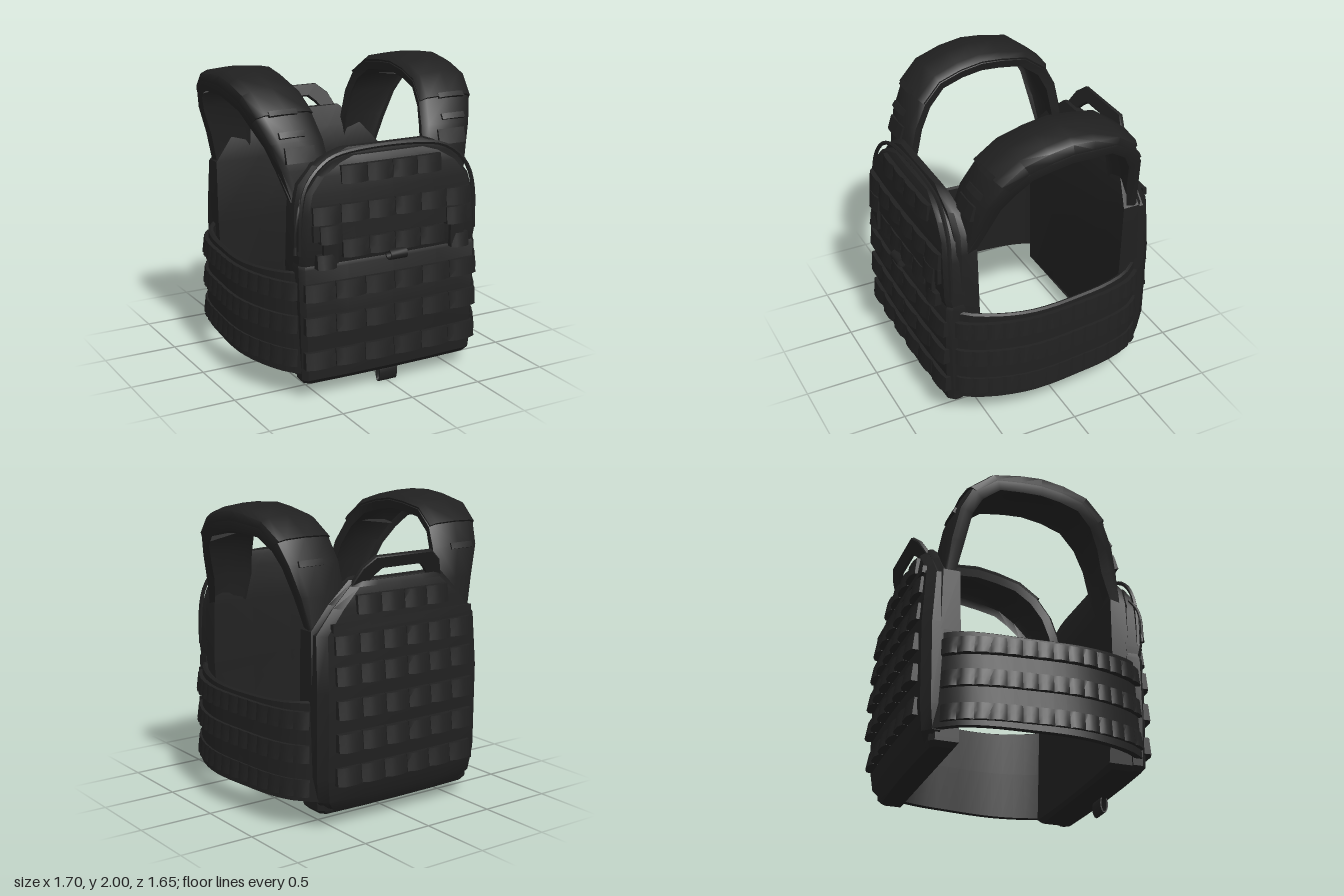
import * as THREE from 'three';
import { mergeGeometries, toCreasedNormals } from 'three/addons/utils/BufferGeometryUtils.js';

const fabric = new THREE.MeshStandardMaterial({ color: 0x202020 });
fabric.name = 'black fabric';

export function createModel() {
  const model = new THREE.Group();
  const add = (name, geo, crease = 0.6) => {
    const mesh = new THREE.Mesh(toCreasedNormals(geo, crease), fabric);
    mesh.name = name;
    model.add(mesh);
    return mesh;
  };

  // Closed solid through a series of equal-length rings, faces turned outward
  function loft(rings) {
    const n = rings[0].length, pos = rings.flat(2), idx = [];
    for (let r = 0; r < rings.length - 1; r++) {
      for (let i = 0; i < n; i++) {
        const a = r * n + i, b = r * n + (i + 1) % n;
        idx.push(a, b, b + n, a, b + n, a + n);
      }
    }
    const last = (rings.length - 1) * n;
    for (let i = 1; i < n - 1; i++) idx.push(0, i + 1, i, last, last + i, last + i + 1);
    const v = k => new THREE.Vector3().fromArray(pos, k * 3);
    let volume = 0;
    for (let i = 0; i < idx.length; i += 3) volume += v(idx[i]).dot(v(idx[i + 1]).cross(v(idx[i + 2])));
    if (volume < 0) idx.reverse();
    const geo = new THREE.BufferGeometry();
    geo.setAttribute('position', new THREE.Float32BufferAttribute(pos, 3));
    geo.setIndex(idx);
    return geo;
  }

  // Upright panel from rows of [y, half width, inner z, outer z], bowed across x
  function slab(name, rows, bow = 0.02, edge = 0.03) {
    add(name, loft(rows.map(([y, w, zi, zo]) => {
      const s = Math.sign(zo), z = (base, x) => base - s * bow * (x / 0.64) ** 2;
      const inner = [-1, -0.5, 0, 0.5, 1].map(u => [u * w, y, z(zi, u * w)]);
      const side = zo - s * Math.min(edge, Math.abs(zo - zi) * 0.5);
      const outer = [w - edge, w / 2, 0, -w / 2, edge - w].map(x => [x, y, z(zo, x)]);
      return [...inner, [w, y, z(side, w)], ...outer, [-w, y, z(side, w)]];
    })));
  }

  // Front: carrier, lower flap and arched upper pouch
  slab('frontCarrier', [[0.1, 0.58, 0.52, 0.69], [0.13, 0.61, 0.495, 0.71], [0.3, 0.62, 0.505, 0.69], [0.85, 0.64, 0.53, 0.68],
    [1.25, 0.63, 0.535, 0.67], [1.37, 0.6, 0.55, 0.66], [1.48, 0.5, 0.57, 0.65], [1.55, 0.37, 0.585, 0.645], [1.575, 0.3, 0.595, 0.635]]);
  slab('frontLowerFlap', [[0.1, 0.6, 0.66, 0.72], [0.13, 0.625, 0.65, 0.745], [0.5, 0.635, 0.63, 0.755], [0.86, 0.645, 0.63, 0.75], [0.89, 0.64, 0.64, 0.735]]);
  slab('frontUpperPouch', [[0.86, 0.64, 0.63, 0.735], [0.94, 0.64, 0.63, 0.755], [1.2, 0.62, 0.62, 0.75], [1.33, 0.585, 0.62, 0.735],
    [1.43, 0.5, 0.62, 0.72], [1.5, 0.38, 0.62, 0.7], [1.53, 0.28, 0.63, 0.68]]);
  const arch = [[0.635, 0.95, 0.7], [0.625, 1.22, 0.7], [0.59, 1.36, 0.69], [0.5, 1.47, 0.68], [0.36, 1.54, 0.665]];
  const piping = [...arch.map(([x, y, z]) => [-x, y, z]), ...arch.slice().reverse()].map(p => new THREE.Vector3(...p));
  add('pouchPiping', new THREE.TubeGeometry(new THREE.CatmullRomCurve3(piping), 40, 0.014, 5));

  // Back: carrier and plate pocket with cut corners
  slab('backCarrier', [[0.1, 0.58, -0.54, -0.68], [0.13, 0.61, -0.52, -0.7], [0.85, 0.64, -0.53, -0.69], [1.27, 0.64, -0.54, -0.68],
    [1.42, 0.51, -0.575, -0.67], [1.56, 0.36, -0.625, -0.66]]);
  slab('backPlatePocket', [[0.1, 0.54, -0.64, -0.68], [0.19, 0.62, -0.64, -0.74], [0.35, 0.64, -0.64, -0.76], [0.9, 0.64, -0.64, -0.765],
    [1.25, 0.63, -0.63, -0.74], [1.4, 0.5, -0.63, -0.72], [1.52, 0.37, -0.63, -0.7], [1.55, 0.33, -0.64, -0.68]], 0.02, 0.05);

  // One pillowed webbing loop, standing out along +z and deepest at its lower edge
  function webCell(w, h, d) {
    const geo = new THREE.BoxGeometry(w, h, d, 4, 2, 1), p = geo.attributes.position;
    for (let i = 0; i < p.count; i++) {
      if (p.getZ(i) <= 0) { p.setZ(i, -0.02); continue; }
      const u = p.getX(i) / w * 2, low = 0.5 - p.getY(i) / h;
      p.setZ(i, d * (0.6 + 0.4 * (1 - u ** 4)) * (0.6 + 0.4 * low));
    }
    return geo;
  }
  const placed = (geo, x, y, z, ry = 0, rx = 0) => geo.applyMatrix4(new THREE.Matrix4()
    .makeRotationFromEuler(new THREE.Euler(rx, ry, 0, 'YXZ')).setPosition(x, y, z));

  // Straight webbing row on the front or back
  function webRow(name, y, half, count, z, h = 0.11, d = 0.045) {
    const w = half * 2 / count, cells = [];
    for (let i = 0; i < count; i++) {
      const x = -half + w * (i + 0.5), s = Math.sign(z);
      cells.push(placed(webCell(w * 0.985, h, d), x, y, z - s * 0.02 * (x / 0.64) ** 2, s > 0 ? x * 0.08 : Math.PI - x * 0.08));
    }
    add(name, mergeGeometries(cells));
  }
  [[1.43, 0.36, 4, 0.712], [1.2, 0.57, 6, 0.748], [0.975, 0.37, 4, 0.752], [0.715, 0.625, 6, 0.75], [0.5, 0.625, 6, 0.755], [0.27, 0.625, 6, 0.75]]
    .forEach(r => webRow('frontWebbing', ...r));
  [[1.42, 0.36, 4, -0.712], [1.19, 0.54, 6, -0.738], [1.0, 0.54, 6, -0.752], [0.79, 0.54, 6, -0.768], [0.58, 0.54, 6, -0.772], [0.36, 0.54, 6, -0.757]]
    .forEach(r => webRow('backWebbing', ...r, 0.115, 0.053));
  webRow('frontFlapBand', 1.09, 0.58, 1, 0.752, 0.1, 0.02);
  webRow('backFlapBand', 1.295, 0.56, 1, -0.732, 0.05, 0.02);

  // Buckle straps on the front
  for (const s of [-1, 1]) {
    add('buckleStrap', placed(new THREE.BoxGeometry(0.1, 0.24, 0.025), s * 0.46, 1.01, 0.765));
    add('buckleTop', placed(webCell(0.15, 0.11, 0.045), s * 0.455, 1.08, 0.755));
    add('buckleBottom', placed(webCell(0.13, 0.09, 0.045), s * 0.485, 0.91, 0.752));
  }

  // Side bands with webbing, following a curve around the waist
  const waist = new THREE.CatmullRomCurve3([[0.59, 0.71], [0.675, 0.63], [0.757, 0.46], [0.808, 0.25], [0.815, 0.08],
    [0.8, -0.12], [0.775, -0.35], [0.72, -0.53], [0.61, -0.67]].map(([x, z]) => new THREE.Vector3(x, 0, z)));
  for (const s of [-1, 1]) {
    const rings = [];
    for (let i = 0; i <= 18; i++) {
      const p = waist.getPointAt(i / 18), t = waist.getTangentAt(i / 18);
      const top = 0.805 + 0.07 * p.z * p.z, low = 0.185 - 0.015 * p.z;
      const at = (d, y) => [s * (p.x - t.z * d), y, p.z + t.x * d];
      rings.push([at(0.012, low), at(0, 0.5), at(-0.01, top - 0.01), at(-0.025, top), at(-0.045, top - 0.01), at(-0.04, 0.5), at(-0.03, low)]);
    }
    add('sideBand', loft(rings));
    for (const y of [0.715, 0.5, 0.28]) {
      const cells = [], n = 14;
      for (let i = 0; i < n; i++) {
        const u = 0.04 + 0.92 * (i + 0.5) / n, p = waist.getPointAt(u), t = waist.getTangentAt(u);
        cells.push(placed(webCell(0.106, 0.11, 0.034), s * p.x, y, p.z, Math.atan2(-t.z * s, t.x)));
      }
      add('sideWebbing', mergeGeometries(cells));
    }
  }

  // Shoulder straps: [outer z, y, inner x, outer x, edge droop], front to back over the top
  const path = [[0.59, 1.25, 0.36, 0.63, 0.1], [0.575, 1.45, 0.34, 0.68, 0.8], [0.53, 1.62, 0.36, 0.73, 0.9], [0.44, 1.78, 0.39, 0.79, 0.95],
    [0.3, 1.905, 0.42, 0.82, 0.95], [0.13, 1.96, 0.43, 0.83, 1], [-0.03, 1.985, 0.43, 0.83, 1], [-0.18, 1.97, 0.43, 0.83, 0.9], [-0.36, 1.935, 0.42, 0.82, 0.7],
    [-0.51, 1.825, 0.4, 0.79, 0.65], [-0.58, 1.68, 0.38, 0.755, 0.55], [-0.615, 1.48, 0.36, 0.69, 0.55], [-0.635, 1.25, 0.36, 0.63, 0.3]];
  const profile = [[0, 0.05], [0.1, 0.015], [0.5, 0], [0.85, 0.015], [0.97, 0.045], [1, 0.1]];
  function strapRings(s, from, to, lift, thick) {
    const rings = [];
    for (let i = from; i <= to; i++) {
      const a = path[Math.max(i - 1, 0)], b = path[Math.min(i + 1, path.length - 1)], [z, y, xi, xo, sag] = path[i];
      const len = Math.hypot(b[0] - a[0], b[1] - a[1]), nz = (b[1] - a[1]) / len, ny = (a[0] - b[0]) / len;
      const at = (u, d) => [s * (xi + (xo - xi) * u), y + ny * d, z + nz * d];
      rings.push([...profile.map(([u, d]) => at(u, lift - d * sag)),
        ...profile.slice().reverse().map(([u, d]) => at(0.04 + u * 0.92, lift - thick - d * sag))]);
    }
    return rings;
  }
  for (const s of [-1, 1]) {
    add('shoulderStrap', loft(strapRings(s, 0, path.length - 1, 0, 0.055)), 0.8);
    add('shoulderPad', loft(strapRings(s, 3, 9, 0.016, 0.04)), 0.8);
    // Small loops sewn on the straps
    add('strapLoop', placed(webCell(0.19, 0.035, 0.018), s * 0.61, 1.785, 0.438, 0, -0.6));
    add('strapLoop', placed(webCell(0.17, 0.04, 0.018), s * 0.585, 1.66, 0.508, 0, -0.5));
    add('strapPatch', placed(webCell(0.2, 0.1, 0.015), s * 0.55, 1.54, 0.552, 0, -0.27));
    add('strapLoop', placed(webCell(0.18, 0.04, 0.015), s * 0.6, 1.68, -0.578, Math.PI, -0.3));
  }

  // Carry handle at the top of the back
  const outline = pts => pts.map(([x, y]) => new THREE.Vector2(x, y));
  const grip = new THREE.Shape(outline([[-0.35, 0], [0.35, 0], [0.3, 0.11], [0.22, 0.18], [-0.22, 0.18], [-0.3, 0.11]]));
  grip.holes.push(new THREE.Path(outline([[-0.23, 0.02], [-0.2, 0.06], [-0.15, 0.105], [0.15, 0.105], [0.2, 0.06], [0.23, 0.02]])));
  const handle = add('carryHandle', new THREE.ExtrudeGeometry(grip, { depth: 0.02, bevelSize: 0.006, bevelThickness: 0.006, bevelSegments: 1 }));
  handle.position.set(0, 1.53, -0.66);
  handle.rotation.x = -0.4;

  // Fabric pull loops, flat rings seen from the side
  function pullLoop(name, y, z, rz, ry, width) {
    const ring = new THREE.Shape().absellipse(0, 0, rz, ry, 0, Math.PI * 2);
    ring.holes.push(new THREE.Path().absellipse(0, 0, rz - 0.009, ry - 0.009, 0, Math.PI * 2));
    const geo = new THREE.ExtrudeGeometry(ring, { depth: width, bevelEnabled: false, curveSegments: 8 });
    add(name, geo.rotateY(-Math.PI / 2).translate(width / 2, y, z));
  }
  pullLoop('bottomPullLoop', 0.062, 0.68, 0.028, 0.062, 0.13);
  pullLoop('frontPullLoop', 0.895, 0.79, 0.038, 0.034, 0.12);

  // Hanging cord on the right side of the chest
  const cord = [[-0.61, 1.29, 0.66], [-0.645, 1.21, 0.7], [-0.67, 1.1, 0.71], [-0.672, 0.98, 0.71]].map(p => new THREE.Vector3(...p));
  add('cord', new THREE.TubeGeometry(new THREE.CatmullRomCurve3(cord), 12, 0.01, 6), 1.2);
  add('cordEnd', new THREE.CylinderGeometry(0.011, 0.016, 0.05, 8).translate(-0.672, 0.99, 0.71));

  return model;
}
